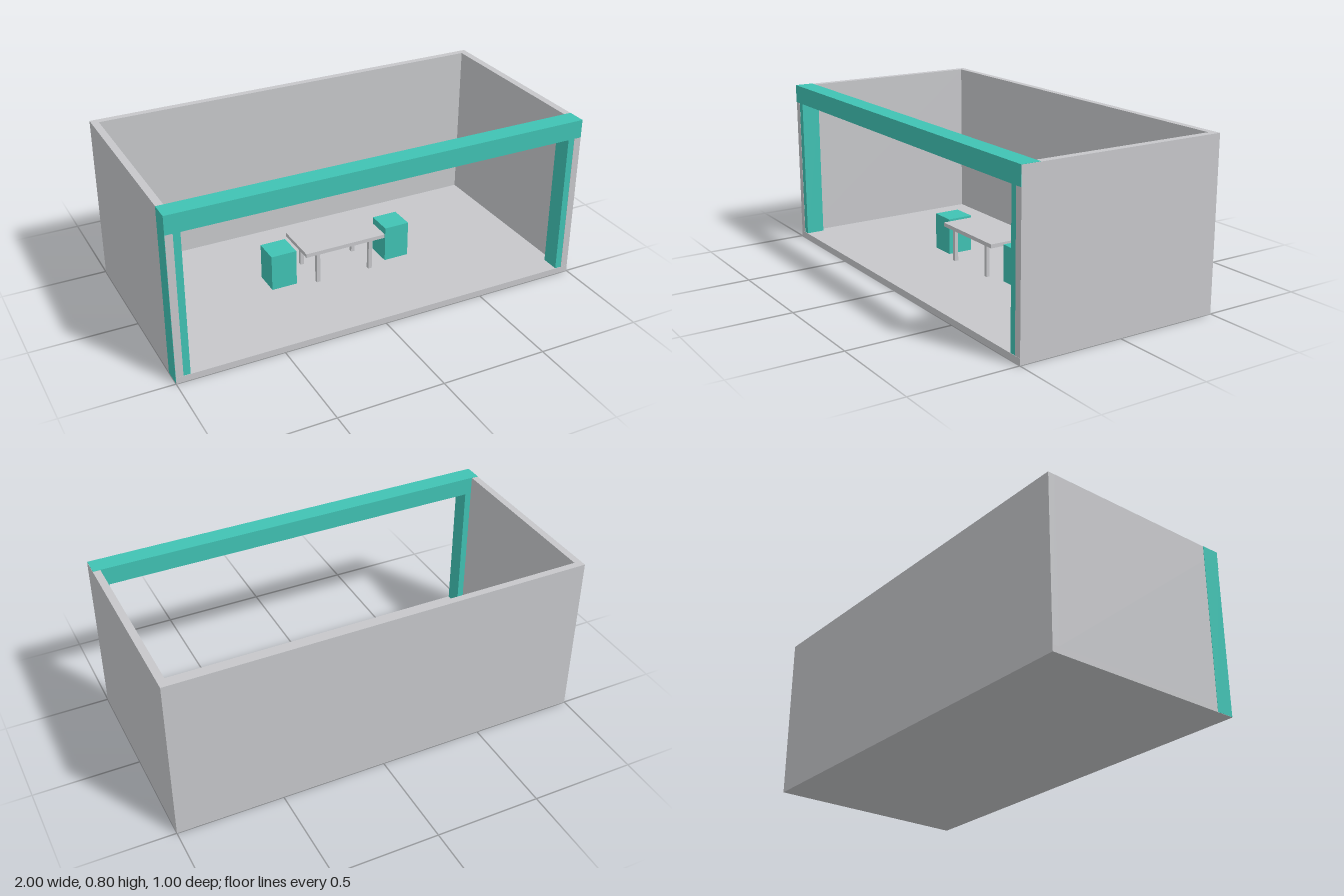
import * as THREE from 'three';

export function createModel() {
  const model = new THREE.Group();
  model.name = 'openRoom';

  const grey = new THREE.MeshStandardMaterial({ color: 0xc6c7ca });
  grey.name = 'light grey';
  const teal = new THREE.MeshStandardMaterial({ color: 0x40c2b3 });
  teal.name = 'teal';

  // Box given by its lowest and highest corner
  function box(name, material, [x0, y0, z0], [x1, y1, z1], parent = model) {
    const mesh = new THREE.Mesh(new THREE.BoxGeometry(x1 - x0, y1 - y0, z1 - z0), material);
    mesh.position.set((x0 + x1) / 2, (y0 + y1) / 2, (z0 + z1) / 2);
    mesh.name = name;
    parent.add(mesh);
    return mesh;
  }

  const gap = 0.001; // keeps coincident faces apart

  // Room shell, open at the top and front
  box('floor', grey, [-1 + gap, 0, -0.5], [1, 0.03, 0.5]);
  box('backWall', grey, [-1 + gap, 0.03, -0.5], [1, 0.8 - gap, -0.467]);
  box('rightWall', grey, [-1 + gap, 0.03, -0.467], [-0.965, 0.8 - gap, 0.5 - gap]);
  box('leftWall', grey, [0.965, 0.03, -0.467], [1, 0.8 - gap, 0.5 - gap]);

  // Front frame: two posts under a lintel
  box('rightPost', teal, [-1, gap, 0.41], [-0.933, 0.713, 0.5 - 2 * gap]);
  box('leftPost', teal, [0.933, gap, 0.41], [1 - gap, 0.713, 0.5 - 2 * gap]);
  box('lintel', teal, [-1, 0.713, 0.41], [1 - gap, 0.8, 0.5]);

  // Table with four square legs
  const table = new THREE.Group();
  table.name = 'table';
  table.position.set(-0.002, 0, -0.005);
  model.add(table);
  box('tableTop', grey, [-0.207, 0.188, -0.113], [0.207, 0.207, 0.113], table);
  for (const x of [-0.138, 0.138]) {
    for (const z of [-0.09, 0.09]) {
      box('tableLeg', grey, [x - 0.009, 0.03, z - 0.009], [x + 0.009, 0.188, z + 0.009], table);
    }
  }

  // Block stools at each end of the table
  for (const x of [-0.301, 0.298]) {
    box('stool', teal, [x - 0.063, 0.03, -0.066], [x + 0.063, 0.207, 0.06]);
  }

  return model;
}
